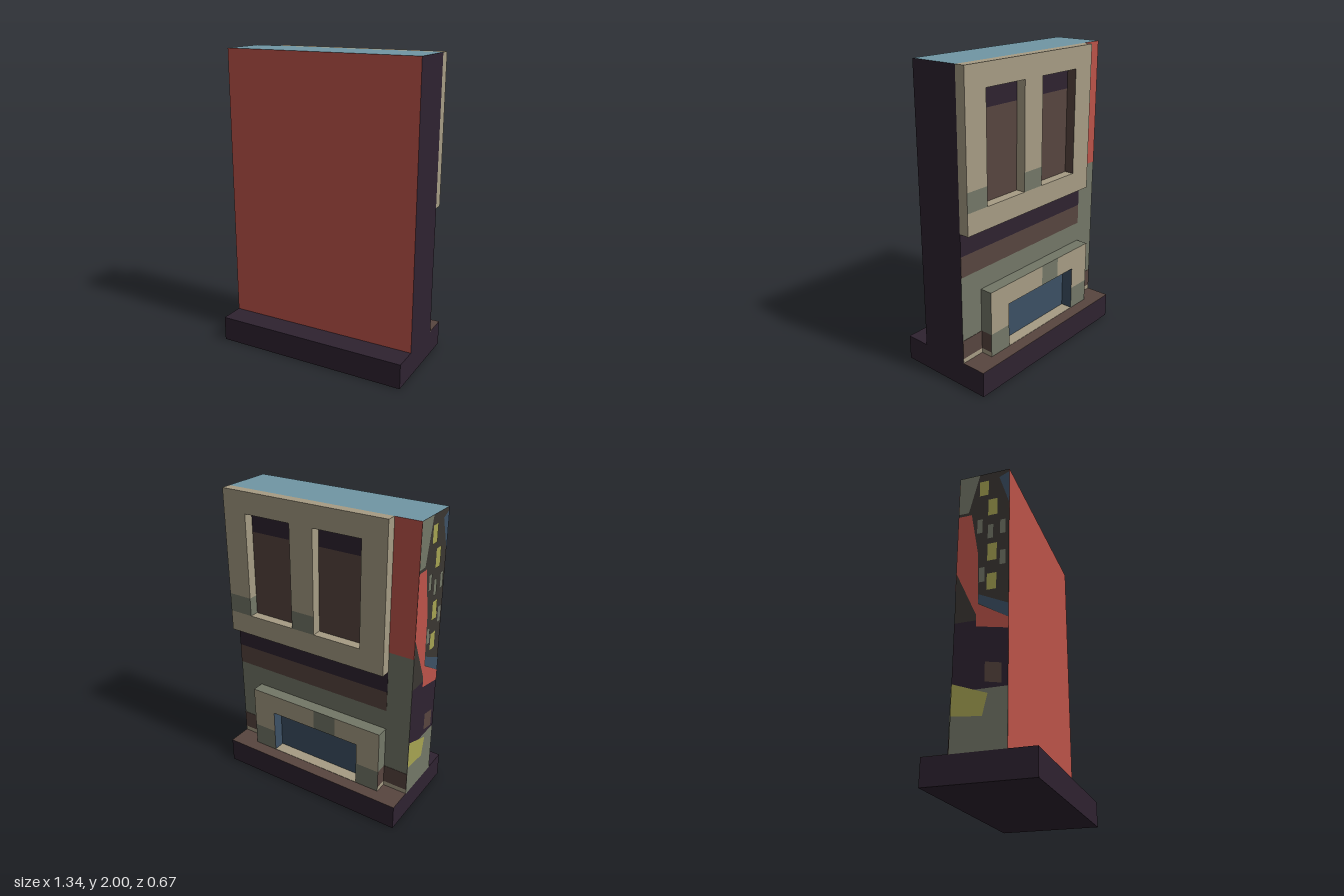
import * as THREE from 'three';

const mat = (name, color, side = THREE.FrontSide) => {
  const m = new THREE.MeshStandardMaterial({ color, side });
  m.name = name;
  return m;
};

export function createModel() {
  const model = new THREE.Group();
  model.name = 'buildingFacade';
  const red = mat('brickRed', 0xbc5349);
  const dark = mat('darkPlum', 0x2e2230);
  const teal = mat('roofTeal', 0x7096a4);
  const tan = mat('stoneTan', 0xa69c84);
  const grey = mat('mossGrey', 0x737767);
  const brown = mat('earthBrown', 0x57453f);
  const blue = mat('glassBlue', 0x3c5064);
  const yellow = mat('lampYellow', 0xa6a352);
  const soot = mat('sootBrown', 0x3a3632);

  // Box from ranges; materials are one, or six in order +x -x +y -y +z -z
  const box = (name, [x0, x1], [y0, y1], [z0, z1], mats, parent = model) => {
    const mesh = new THREE.Mesh(new THREE.BoxGeometry(x1 - x0, y1 - y0, z1 - z0), mats);
    mesh.position.set((x0 + x1) / 2, (y0 + y1) / 2, (z0 + z1) / 2);
    mesh.name = name;
    parent.add(mesh);
    return mesh;
  };

  const W = 0.667, D = 0.167, B = 0.167;

  // Base and wall
  box('base', [-W, W], [0, B], [-0.333, 0.333], dark);
  box('pavement', [-W, W], [B, B + 0.002], [-0.333, -D], brown);
  box('wall', [-W, W], [B, 2], [-D, D], [dark, soot, teal, dark, red, grey]);

  // Painted bands on the back of the wall
  const backBand = (name, xs, ys, m) => box(name, xs, ys, [-D - 0.002, -D], m);
  backBand('brickStrip', [-W, -0.5], [1.165, 2], red);
  backBand('shadowBand', [-0.5, W], [0.885, 1.03], dark);
  backBand('brownBand', [-0.5, W], [0.75, 0.885], brown);
  backBand('lowBrownBand', [-W, W], [0.2, 0.325], brown);
  backBand('skirting', [-W, W], [B, 0.2], tan);

  // Upper window panel
  const panel = new THREE.Group();
  panel.name = 'windowPanel';
  model.add(panel);
  const pz = [-0.233, -D], low = 1.17, mid = 1.295, high = 1.86;
  box('topRail', [-0.5, W], [high, 2], pz, [tan, tan, tan, dark, tan, tan], panel);
  box('bottomRail', [-0.5, W], [1.03, low], pz, tan, panel);
  box('outerStile', [0.5, W], [mid, high], pz, tan, panel);
  box('outerStileFoot', [0.5, W], [low, mid], pz, [tan, grey, tan, tan, tan, grey], panel);
  box('middleStile', [0, 0.167], [mid, high], pz, tan, panel);
  box('middleStileFoot', [0, 0.167], [low, mid], pz, [tan, tan, tan, tan, tan, grey], panel);
  box('innerStile', [-0.5, -0.333], [low, high], pz, [brown, tan, tan, tan, tan, tan], panel);
  for (const x of [0.167, -0.333]) {
    backBand('windowPane', [x, x + 0.333], [low, 1.73], brown);
    backBand('windowShade', [x, x + 0.333], [1.73, high], dark);
  }

  // Lower shop front frame
  const frame = new THREE.Group();
  frame.name = 'shopFrame';
  model.add(frame);
  const fz = [-0.25, -D], beam = 0.475;
  for (const [x0, x1, m] of [[0, 0.5, tan], [-0.167, 0, grey], [-0.5, -0.167, tan]])
    box('beam', [x0, x1], [beam, 0.615], fz, [grey, grey, grey, blue, grey, m], frame);
  for (const s of [1, -1]) {
    const xs = s > 0 ? [0.333, 0.5] : [-0.5, -0.333];
    for (const [y0, y1, outer, face] of [[B, 0.2, tan, grey], [0.2, 0.325, brown, grey], [0.325, beam, grey, tan]])
      box('post', xs, [y0, y1], fz,
        [s > 0 ? outer : blue, s > 0 ? blue : outer, grey, grey, grey, face], frame);
  }
  box('shopWindow', [-0.333, 0.333], [B, beam], [-D - 0.004, -D], blue, frame);
  box('shopSill', [-0.333, 0.333], [B, B + 0.004], fz, tan, frame);

  // Painted mural on the right side: outlines as [z, y] pairs
  const mural = new THREE.Group();
  mural.name = 'sideMural';
  model.add(mural);
  const paint = (name, m, layer, pts) => {
    const shape = new THREE.Shape(pts.map(([z, y]) => new THREE.Vector2(z, y)));
    const mesh = new THREE.Mesh(new THREE.ShapeGeometry(shape), m);
    mesh.rotation.y = -Math.PI / 2;
    mesh.position.x = -W - 0.0015 * layer;
    mesh.name = name;
    mural.add(mesh);
  };
  const rect = (z0, z1, y0, y1) => [[z0, y0], [z1, y0], [z1, y1], [z0, y1]];
  paint('muralGround', grey, 1, rect(-D, D, B, 0.52));
  paint('muralNight', dark, 1, rect(-D, D, 0.52, 0.95));
  paint('muralSkyLeft', grey, 1, [[-D, 1.72], [-0.1, 1.72], [-0.03, 2], [-D, 2]]);
  paint('muralSkyRight', blue, 1, [[0.1, 1.95], [D, 1.74], [D, 1.98]]);
  paint('muralBrick', red, 1, [[-D, 1.29], [-0.02, 0.96], [-0.03, 1.4], [-0.08, 1.7], [-D, 1.7]]);
  paint('muralAwning', red, 2, [[-0.03, 0.91], [D, 0.87], [D, 0.94], [-0.03, 1.06]]);
  paint('muralBlueBand', blue, 2, [[-0.02, 1.06], [D, 0.94], [D, 1.03], [-0.02, 1.12]]);
  paint('muralYellowPatch', yellow, 2, [[-D, 0.38], [0.02, 0.36], [0.05, 0.49], [-D, 0.57]]);
  paint('muralDoor', brown, 2, [[0.03, 0.56], [0.13, 0.54], [0.13, 0.66], [0.03, 0.68]]);
  for (const [z, y, h] of [[-0.03, 1.83, 0.11], [0.03, 1.67, 0.12], [0.03, 1.34, 0.12], [0.03, 1.14, 0.11]])
    paint('muralLitWindow', yellow, 2, rect(z, z + 0.06, y, y + h));
  for (const [z, y] of [[-0.04, 1.55], [0.03, 1.5], [0.11, 1.52], [0.11, 1.3], [-0.02, 1.2]])
    paint('muralWindow', grey, 2, rect(z, z + 0.035, y, y + 0.1));
  return model;
}
